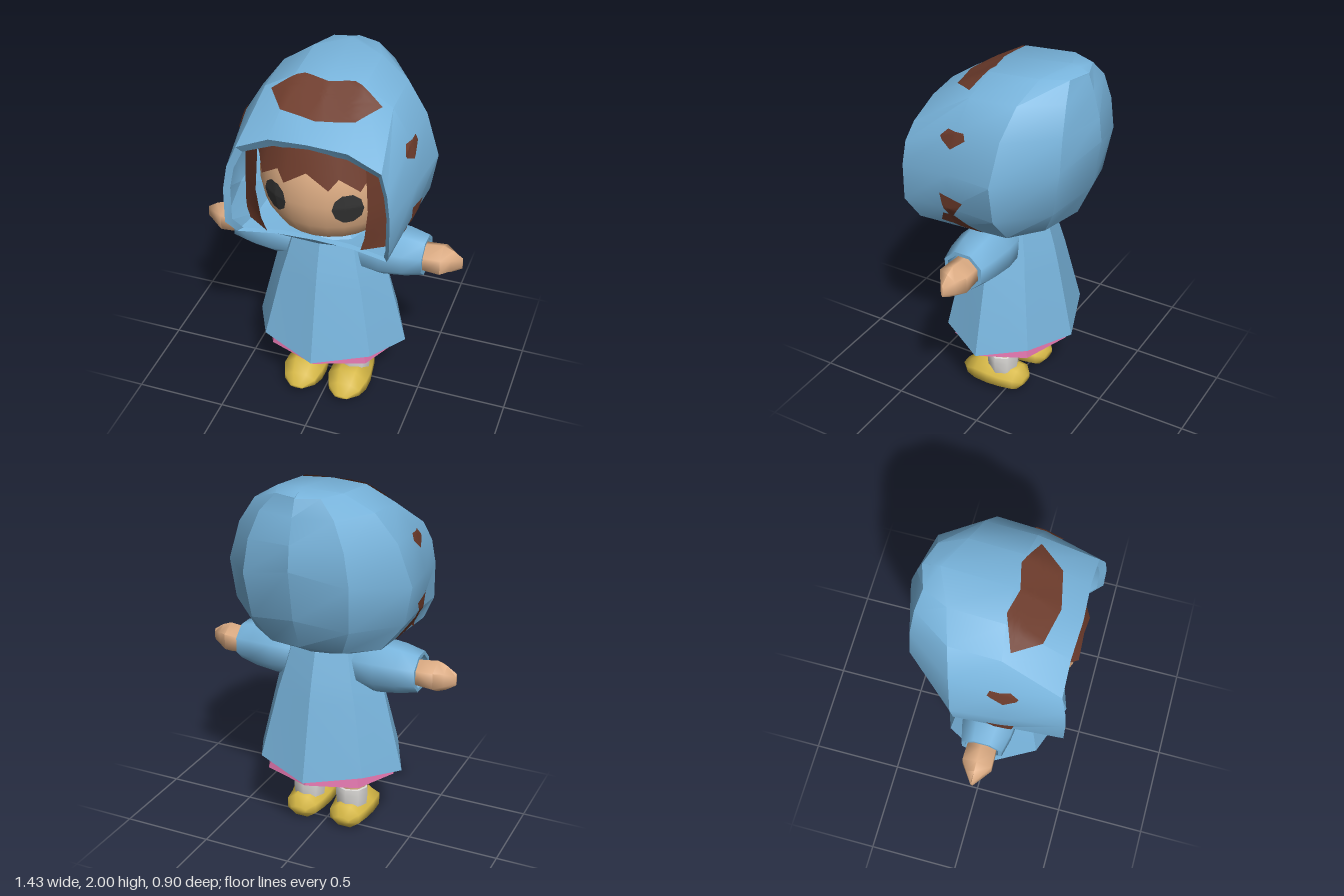
import * as THREE from 'three';
import { toCreasedNormals } from 'three/addons/utils/BufferGeometryUtils.js';

const paint = (name, color) => new THREE.MeshStandardMaterial({ name, color, side: THREE.DoubleSide });

// Loop of n points; f turns (cos, sin, index) into a point
const ring = (n, f, start = 0) => Array.from({ length: n }, (_, i) => {
  const a = start + (i / n) * Math.PI * 2;
  return f(Math.cos(a), Math.sin(a), i);
});

// Geometry from triangles, with edges sharper than the crease angle kept hard
function fromTriangles(points, index, crease) {
  const g = new THREE.BufferGeometry();
  g.setAttribute('position', new THREE.Float32BufferAttribute(points.flat(), 3));
  g.setIndex(index);
  return toCreasedNormals(g, crease);
}

// Skin through equal-length cross-sections
function loft(rings, { crease = 0.9, closed = true, capStart = false, capEnd = false } = {}) {
  const n = rings[0].length, points = rings.flat(), index = [];
  for (let r = 0; r < rings.length - 1; r++) {
    for (let i = 0; i < (closed ? n : n - 1); i++) {
      const a = r * n + i, b = r * n + (i + 1) % n;
      index.push(a, b, a + n, b, b + n, a + n);
    }
  }
  const cap = (r, flip) => {
    const mid = [0, 1, 2].map(k => rings[r].reduce((s, p) => s + p[k], 0) / n);
    const c = points.push(mid) - 1;
    for (let i = 0; i < n; i++) {
      const a = r * n + i, b = r * n + (i + 1) % n;
      index.push(...(flip ? [c, b, a] : [c, a, b]));
    }
  };
  if (capStart) cap(0, true);
  if (capEnd) cap(rings.length - 1, false);
  return fromTriangles(points, index, crease);
}

// Thin patch laid on a surface: outline points are cast onto it along a direction
function patch(target, outline, toOrigin, dir, lift) {
  const ray = new THREE.Raycaster(), d = new THREE.Vector3(...dir);
  const steps = 9, split = 4;
  const loop = outline.flatMap((p, i) => {
    const q = outline[(i + 1) % outline.length];
    return Array.from({ length: split }, (_, j) => [0, 1].map(k => p[k] + (q[k] - p[k]) * j / split));
  });
  const c = [0, 1].map(k => outline.reduce((s, p) => s + p[k], 0) / outline.length);
  const rings = [];
  for (let s = 0; s <= steps; s++) {
    rings.push(loop.map(p => {
      const uv = [0, 1].map(k => c[k] + (p[k] - c[k]) * s / steps);
      const o = new THREE.Vector3(...toOrigin(uv));
      ray.set(o, d);
      const hit = ray.intersectObject(target)[0];
      const at = hit ? hit.point : o.clone().addScaledVector(d, 2);
      return at.addScaledVector(d, -lift).toArray();
    }));
  }
  return loft(rings);
}

export function createModel() {
  const model = new THREE.Group();
  const blue = paint('cloakBlue', 0x78b4dc), brown = paint('hairBrown', 0x6e3c2c);
  const skin = paint('skin', 0xdfae85), dark = paint('eyeDark', 0x333333);
  const pink = paint('skirtPink', 0xd870a6), white = paint('sockWhite', 0xd6d4d1);
  const yellow = paint('shoeYellow', 0xd6b846);
  const add = (name, geometry, material) => {
    const m = new THREE.Mesh(geometry, material);
    m.name = name;
    model.add(m);
    return m;
  };
  const Z = 0.045; // depth of the body axis

  // Hood: half sections from crown to throat, mirrored into loops
  const front = [[0, 1.77, .41], [.2, 1.755, .4], [.37, 1.68, .405], [.41, 1.58, .435], [.43, 1.45, .447],
    [.43, 1.25, .447], [.4, 1.152, .375], [.2, 1.152, .33], [0, 1.152, .32]];
  const middle = [[0, 1.96, .07], [.18, 1.945, .08], [.33, 1.865, .1], [.43, 1.72, .12], [.485, 1.5, .15],
    [.465, 1.3, .15], [.37, 1.14, .17], [.2, 1.095, .24], [0, 1.088, .26]];
  const widest = [[0, 2, -.28], [.18, 1.97, -.2], [.33, 1.88, -.16], [.44, 1.73, -.13], [.515, 1.51, -.11],
    [.48, 1.3, -.11], [.36, 1.15, -.12], [.2, 1.1, -.12], [0, 1.085, -.05]];
  const rear = [[0, 1.99, -.32], [.12, 1.97, -.33], [.2, 1.88, -.355], [.26, 1.73, -.37], [.29, 1.55, -.375],
    [.27, 1.3, -.33], [.2, 1.15, -.25], [.1, 1.1, -.17], [0, 1.085, -.1]];
  const back = [[0, 1.97, -.37], [0, 1.965, -.37], [0, 1.88, -.4], [0, 1.75, -.435], [0, 1.62, -.45],
    [0, 1.35, -.405], [0, 1.18, -.33], [0, 1.1, -.19], [0, 1.085, -.14]];
  const rim = front.map(([x, y, z]) => [x * .94, y > 1.42 ? 1.42 + (y - 1.42) * .85 : y + .005, z - .03]);
  const mirror = half => [...half, ...half.slice(1, -1).reverse().map(([x, y, z]) => [-x, y, z])];
  const hood = add('hood', loft([rim, front, middle, widest, rear, back].map(mirror), { crease: 0.5 }), blue);

  // Hair showing through the hood
  const both = half => [...half, ...half.filter(p => p[0] !== 0).reverse().map(([x, z]) => [-x, z])];
  add('crownHairPatch', patch(hood, both([[0, .1], [.13, .07], [.285, .13], [.19, .26], [0, .3]]),
    ([x, z]) => [x, 3, z], [0, -1, 0], 0.008), brown);
  const sidePatches = [
    [[.21, 1.68], [.17, 1.72], [.07, 1.725], [.06, 1.69], [.14, 1.63], [.2, 1.66]],
    [[.2, 1.38], [.06, 1.36], [.14, 1.25], [.16, 1.23], [.19, 1.31]],
    [[.2, 1.25], [.235, 1.18], [.1, 1.155], [.01, 1.15], [.08, 1.2], [.14, 1.25]],
  ];
  for (const s of [-1, 1]) {
    for (const outline of sidePatches) {
      add('sideHairPatch', patch(hood, outline, ([z, y]) => [2 * s, y, z], [-s, 0, 0], 0.007), brown);
    }
  }

  // Head
  const headProfile = [[0, 1.14], [.22, 1.145], [.285, 1.19], [.345, 1.29], [.37, 1.42], [.36, 1.56],
    [.31, 1.7], [.2, 1.78], [0, 1.81]].map(p => new THREE.Vector2(...p));
  const headGeometry = new THREE.LatheGeometry(headProfile, 24);
  headGeometry.translate(0, 0, Z);
  const head = add('head', headGeometry, skin);

  // Eyes
  for (const s of [-1, 1]) {
    const outline = ring(10, (c, n) => [s * .19 + c * .07, 1.41 + n * .087]);
    add('eye', patch(head, outline, ([x, y]) => [x, y, 2], [0, 0, -1], 0.007), dark);
  }

  // Fringe: a jagged band wrapped round the forehead
  const teeth = [[0, 1.62], [.29, 1.545], [.42, 1.6], [.68, 1.53], [.86, 1.6], [1.2, 1.6]];
  const jagged = [...teeth.slice(1).reverse().map(([a, y]) => [-a, y]), ...teeth];
  const onBrow = (a, y) => {
    const r = 0.385 - (y - 1.6) * 0.3;
    return [r * Math.sin(a), y, Z + r * Math.cos(a)];
  };
  add('fringe', loft([
    jagged.map(([a, y]) => onBrow(a, y)),
    jagged.map(([a]) => onBrow(a, 1.7)),
    jagged.map(([a]) => onBrow(a, 1.75)),
  ], { closed: false }), brown);

  // Side locks: thin strips beside the cheeks
  for (const s of [-1, 1]) {
    add('sideLock', loft([
      [[s * .275, 1.7, .35], [s * .4, 1.68, .2]],
      [[s * .293, 1.42, .36], [s * .41, 1.42, .21]],
      [[s * .275, 1.25, .35], [s * .41, 1.25, .22]],
      [[s * .25, 1.16, .335], [s * .4, 1.155, .23]],
    ], { closed: false }), brown);
  }

  // Cloak body with a pointed hem, and the skirt below it
  const octagon = (rx, rz, y, dip = 0) => ring(8, (c, s, i) => [c * rx, y - (i % 2 ? 0 : dip), Z + s * rz]);
  add('cloak', loft([octagon(.18, .16, 1.13), octagon(.23, .197, 1.08), octagon(.275, .242, .93),
    octagon(.315, .268, .82), octagon(.425, .357, .43, .05)], { crease: 0.3, capStart: true }), blue);
  add('skirt', loft([octagon(.3, .25, .6), octagon(.38, .325, .35)],
    { crease: 0.25, capStart: true, capEnd: true }), pink);

  for (const s of [-1, 1]) {
    // Sleeve with a hollow cuff
    const sleeve = [[.1, .11], [.2, .142], [.3, .15], [.42, .136], [.52, .112], [.52, .092], [.45, .086]];
    add('sleeve', loft(sleeve.map(([x, r]) => ring(8, (c, n) => [s * x, .99 + c * r * .97, Z + n * r * 1.04],
      Math.PI / 8)), { capEnd: true }), blue);

    // Mitten hand tapering to an upright edge
    const hand = [[.44, .07, .08], [.53, .077, .088], [.61, .087, .09], [.66, .068, .05], [.713, .033, .008]];
    add('hand', loft(hand.map(([x, ry, rz]) => ring(6, (c, n) => [s * x, .982 + c * ry, Z + n * rz])),
      { crease: 1.2, capEnd: true }), skin);

    // Leg and sock
    const tube = rows => rows.map(([y, r]) => ring(8, (c, n) => [s * .13 + c * r, y, Z + n * r * .92]));
    add('leg', loft(tube([[.45, .087], [.2, .083]])), skin);
    add('sock', loft(tube([[.23, .082], [.225, .093], [.19, .097], [.12, .09]]), { capStart: true }), white);

    // Shoe: sections from heel to toe as depth, half width, floor, top
    const shoe = [[-.1, .045, .05, .085], [-.06, .088, .008, .137], [.02, .1, .002, .14], [.09, .112, .002, .16],
      [.17, .112, .008, .165], [.23, .09, .03, .115], [.285, .035, .055, .07]];
    add('shoe', loft(shoe.map(([z, w, lo, hi]) => ring(8, (c, n) =>
      [s * .132 + c * w * 1.08, (lo + hi) / 2 + n * (hi - lo) / 2 * 1.08, z], Math.PI / 8)),
      { crease: 1.3, capStart: true, capEnd: true }), yellow);
  }
  return model;
}
